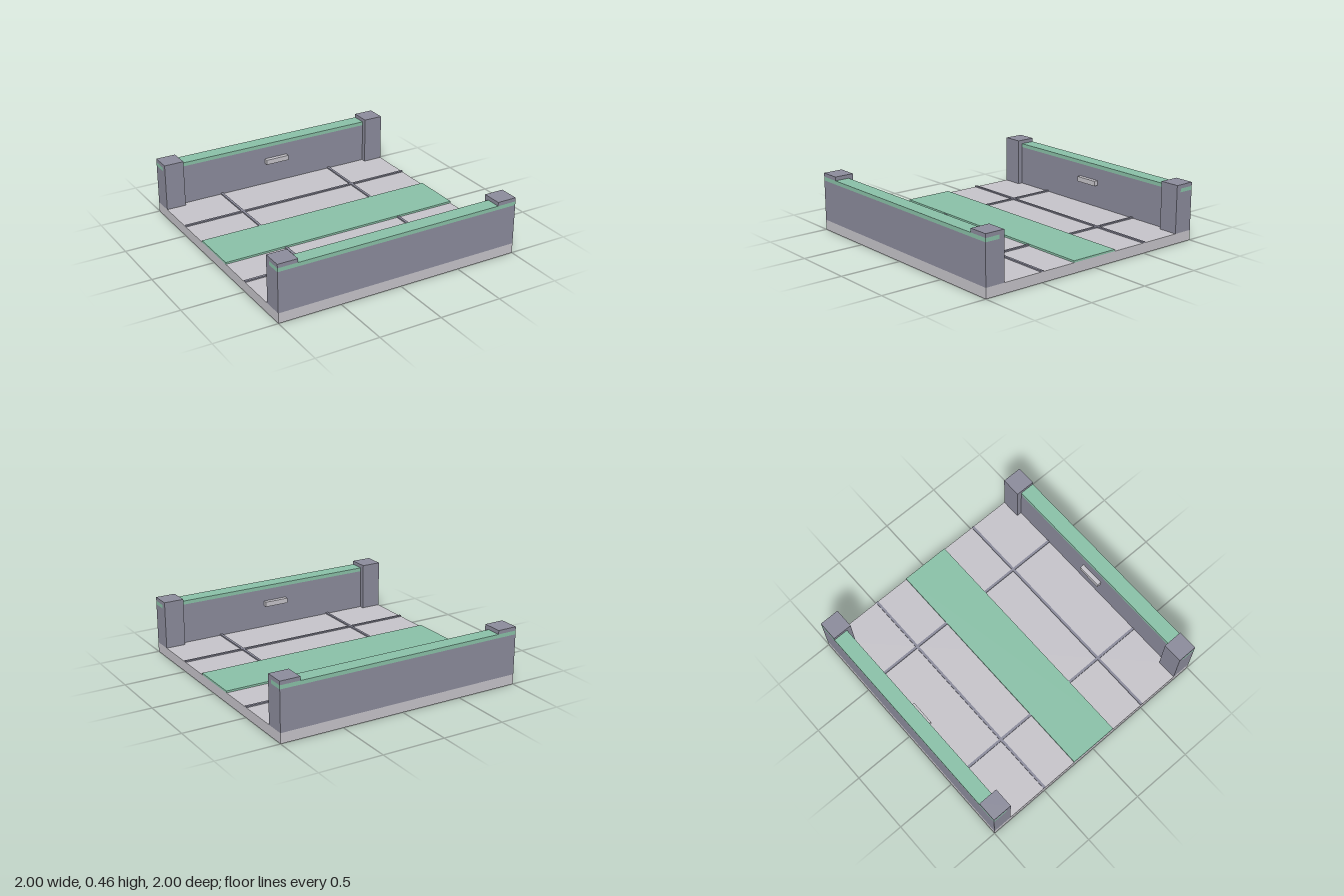
import * as THREE from 'three';

export function createModel() {
  const model = new THREE.Group();
  model.name = 'corridorTile';

  const paleGrey = new THREE.MeshStandardMaterial({ name: 'paleGrey', color: 0xc5c3c9 });
  const slate = new THREE.MeshStandardMaterial({ name: 'slate', color: 0x8b8b9b });
  const green = new THREE.MeshStandardMaterial({ name: 'softGreen', color: 0x89c0a7 });

  // Box given by its lower and upper limits on each axis
  function box(parent, name, material, [x0, x1], [y0, y1], [z0, z1]) {
    const mesh = new THREE.Mesh(new THREE.BoxGeometry(x1 - x0, y1 - y0, z1 - z0), material);
    mesh.position.set((x0 + x1) / 2, (y0 + y1) / 2, (z0 + z1) / 2);
    mesh.name = name;
    parent.add(mesh);
  }

  // Floor slab and the raised walkway along its middle
  box(model, 'floorSlab', paleGrey, [-1, 1], [0, 0.08], [-1, 1]);
  box(model, 'walkway', green, [-1, 1], [0.08, 0.095], [-0.2, 0.2]);

  // Pillar cross-section (z, y), notched on the outside for the rail
  const profile = new THREE.Shape([
    [0.84, 0.08], [1, 0.08], [1, 0.4], [0.88, 0.4],
    [0.88, 0.43], [1, 0.43], [1, 0.46], [0.84, 0.46],
  ].map(([z, y]) => new THREE.Vector2(z, y)));
  const pillarGeometry = new THREE.ExtrudeGeometry(profile, { depth: 0.16, bevelEnabled: false });
  pillarGeometry.rotateY(-Math.PI / 2);

  // Two identical sides, the back one turned half round
  for (const [name, angle] of [['frontSide', 0], ['backSide', Math.PI]]) {
    const side = new THREE.Group();
    side.name = name;
    side.rotation.y = angle;
    model.add(side);

    box(side, 'wall', slate, [-0.84, 0.84], [0.08, 0.4], [0.88, 1]);
    box(side, 'wallRail', green, [-1, 1], [0.4, 0.43], [0.88, 1]);
    box(side, 'wallLamp', paleGrey, [-0.1, 0.1], [0.26, 0.3], [0.845, 0.88]);

    for (const [pillarName, x] of [['leftPillar', 1], ['rightPillar', -0.84]]) {
      const pillar = new THREE.Mesh(pillarGeometry, slate);
      pillar.name = pillarName;
      pillar.position.x = x;
      side.add(pillar);
    }

    // Floor seams: one lengthwise, two crosswise
    box(side, 'longSeam', slate, [-1, 1], [0.08, 0.09], [0.49, 0.51]);
    for (const x of [-0.5, 0.5]) {
      box(side, 'crossSeamInner', slate, [x - 0.01, x + 0.01], [0.08, 0.09], [0.2, 0.49]);
      box(side, 'crossSeamOuter', slate, [x - 0.01, x + 0.01], [0.08, 0.09], [0.51, 0.88]);
    }
  }

  return model;
}
